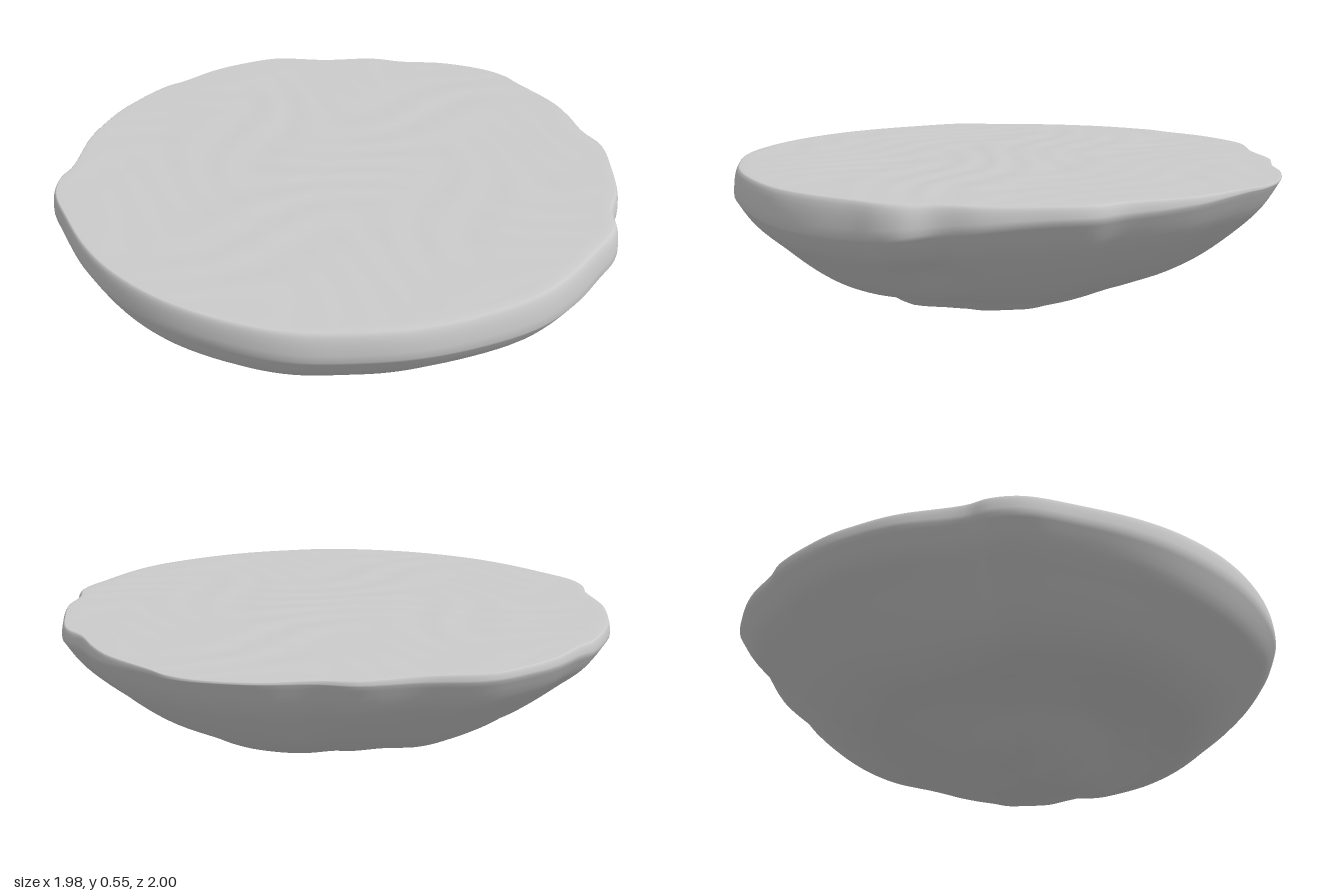
import * as THREE from 'three';
import { mergeVertices } from 'three/addons/utils/BufferGeometryUtils.js';

const TOP = 0.548;
const SEGMENTS = 192;
const UNDER_RINGS = 36;
const LOWEST = new THREE.Vector2(-0.03, 0.12); // x, z of the lowest point

// Rim outline as x, z pairs, running from +x towards +z
const OUTLINE = [
  0.98, 0, 0.97, 0.18, 0.93, 0.35, 0.82, 0.55, 0.7, 0.7, 0.57, 0.81, 0.4, 0.92, 0.2, 0.98,
  -0.03, 1, -0.25, 0.97, -0.42, 0.91, -0.6, 0.81, -0.75, 0.71, -0.81, 0.62, -0.83, 0.54,
  -0.93, 0.34, -0.97, 0.2, -0.99, 0.08, -0.98, -0.15, -0.95, -0.23, -0.91, -0.38,
  -0.85, -0.5, -0.76, -0.62, -0.58, -0.72, -0.42, -0.84, -0.3, -0.88, -0.15, -0.96,
  0.03, -1, 0.13, -0.99, 0.2, -0.96, 0.4, -0.88, 0.5, -0.81, 0.6, -0.72, 0.7, -0.66,
  0.8, -0.52, 0.88, -0.38, 0.92, -0.25, 0.97, -0.17, 0.985, -0.1,
];

// Underside heights from the lowest point to the rim, one row per 45 degrees from +x
const STEPS = [0, 0.2, 0.35, 0.48, 0.58, 0.68, 0.78, 0.88, 0.95, 1];
const PROFILES = [
  [0, 0.03, 0.05, 0.07, 0.14, 0.165, 0.22, 0.3, 0.36, 0.43],
  [0, 0.05, 0.12, 0.16, 0.17, 0.185, 0.24, 0.32, 0.38, 0.45],
  [0, 0.07, 0.145, 0.16, 0.17, 0.185, 0.23, 0.31, 0.37, 0.46],
  [0, 0.055, 0.12, 0.15, 0.17, 0.2, 0.26, 0.345, 0.41, 0.48],
  [0, 0.035, 0.095, 0.14, 0.165, 0.22, 0.295, 0.375, 0.43, 0.5],
  [0, 0.045, 0.09, 0.13, 0.17, 0.225, 0.295, 0.375, 0.44, 0.52],
  [0, 0.05, 0.08, 0.12, 0.165, 0.215, 0.28, 0.37, 0.45, 0.54],
  [0, 0.035, 0.06, 0.09, 0.14, 0.19, 0.26, 0.345, 0.42, 0.5],
].map((row) => new THREE.SplineCurve(row.map((y, i) => new THREE.Vector2(STEPS[i], y))));

// Hollows in the underside: x, z, radius, depth
const DENTS = [
  [0.47, 0.02, 0.09, 0.025],
  [0.42, 0.22, 0.08, 0.02],
  [0.8, -0.14, 0.1, 0.03],
];

function underside(u, angle) {
  const a = ((angle / (Math.PI / 4)) + 8) % 8;
  const i = Math.floor(a) % 8;
  const f = THREE.MathUtils.smoothstep(a - Math.floor(a), 0, 1);
  return PROFILES[i].getPoint(u).lerp(PROFILES[(i + 1) % 8].getPoint(u), f);
}

function dentAt(x, z) {
  return DENTS.reduce((sum, [cx, cz, r, d]) =>
    sum + d * Math.exp(-((x - cx) ** 2 + (z - cz) ** 2) / (r * r)), 0);
}

// Shallow unevenness of the flat top
function ripple(x, z) {
  return 0.0022 * Math.sin(15 * x + 4 * Math.sin(6 * z)) * Math.sin(27 * z + 3 * Math.sin(7 * x));
}

function slabGeometry() {
  const rim = [];
  for (let i = 0; i < OUTLINE.length; i += 2) rim.push(new THREE.Vector3(OUTLINE[i], 0, OUTLINE[i + 1]));
  const curve = new THREE.CatmullRomCurve3(rim, true, 'centripetal');
  const columns = [];

  for (let j = 0; j < SEGMENTS; j++) {
    const p = curve.getPoint(j / SEGMENTS);
    const angle = Math.atan2(p.z - LOWEST.y, p.x - LOWEST.x);
    const column = [];
    const add = (t, height) => {
      const x = THREE.MathUtils.lerp(LOWEST.x, p.x, t);
      const z = THREE.MathUtils.lerp(LOWEST.y, p.z, t);
      column.push([x, height(x, z), z]);
    };
    // Underside, from the lowest point out to the rim
    for (let k = 0; k <= UNDER_RINGS; k++) {
      const s = underside(k / UNDER_RINGS, angle);
      const lumps = (x, z) => 0.006 * Math.sin(9 * x + 2 * z) * Math.sin(8 * z - 3 * x) * s.x * (1 - s.x) * 4;
      add(s.x, (x, z) => s.y + (dentAt(x, z) + lumps(x, z)) * Math.min(1, s.x * 4) * (1 - s.x ** 8));
    }
    // Rounded lip, tighter where the rim is already high
    const y = underside(1, angle).y;
    const inset = THREE.MathUtils.clamp((TOP - y) * 0.25, 0.003, 0.025);
    for (let k = 1; k <= 6; k++) {
      const q = (k / 6) * Math.PI / 2;
      add(1 - inset * (1 - Math.cos(q)), () => y + (TOP - y) * Math.sin(q));
    }
    // Flat top, back in to the middle
    for (let k = 1; k <= 30; k++) {
      const t = (1 - inset) * (1 - k / 30);
      add(t, (x, z) => TOP + ripple(x, z) * Math.min(1, (1 - t) * 5));
    }
    columns.push(column);
  }

  const rings = columns[0].length;
  const index = [];
  for (let j = 0; j < SEGMENTS; j++) {
    const a = j * rings;
    const b = ((j + 1) % SEGMENTS) * rings;
    for (let k = 0; k < rings - 1; k++) {
      if (k > 0) index.push(a + k, a + k + 1, b + k);
      if (k < rings - 2) index.push(b + k, a + k + 1, b + k + 1);
      if (k === 0) index.push(a, a + 1, b + 1);
    }
  }
  // The first ring's fan already uses a, a+1, b+1; its duplicates merge at the centre
  const geometry = new THREE.BufferGeometry();
  geometry.setAttribute('position', new THREE.Float32BufferAttribute(columns.flat(2), 3));
  geometry.setIndex(index);
  const merged = mergeVertices(geometry, 1e-5);
  merged.computeVertexNormals();
  return merged;
}

export function createModel() {
  const model = new THREE.Group();
  model.name = 'rockSlab';
  const slab = new THREE.Mesh(slabGeometry(), new THREE.MeshStandardMaterial({ color: 0xcccccc }));
  slab.name = 'flatToppedRock';
  model.add(slab);
  return model;
}
